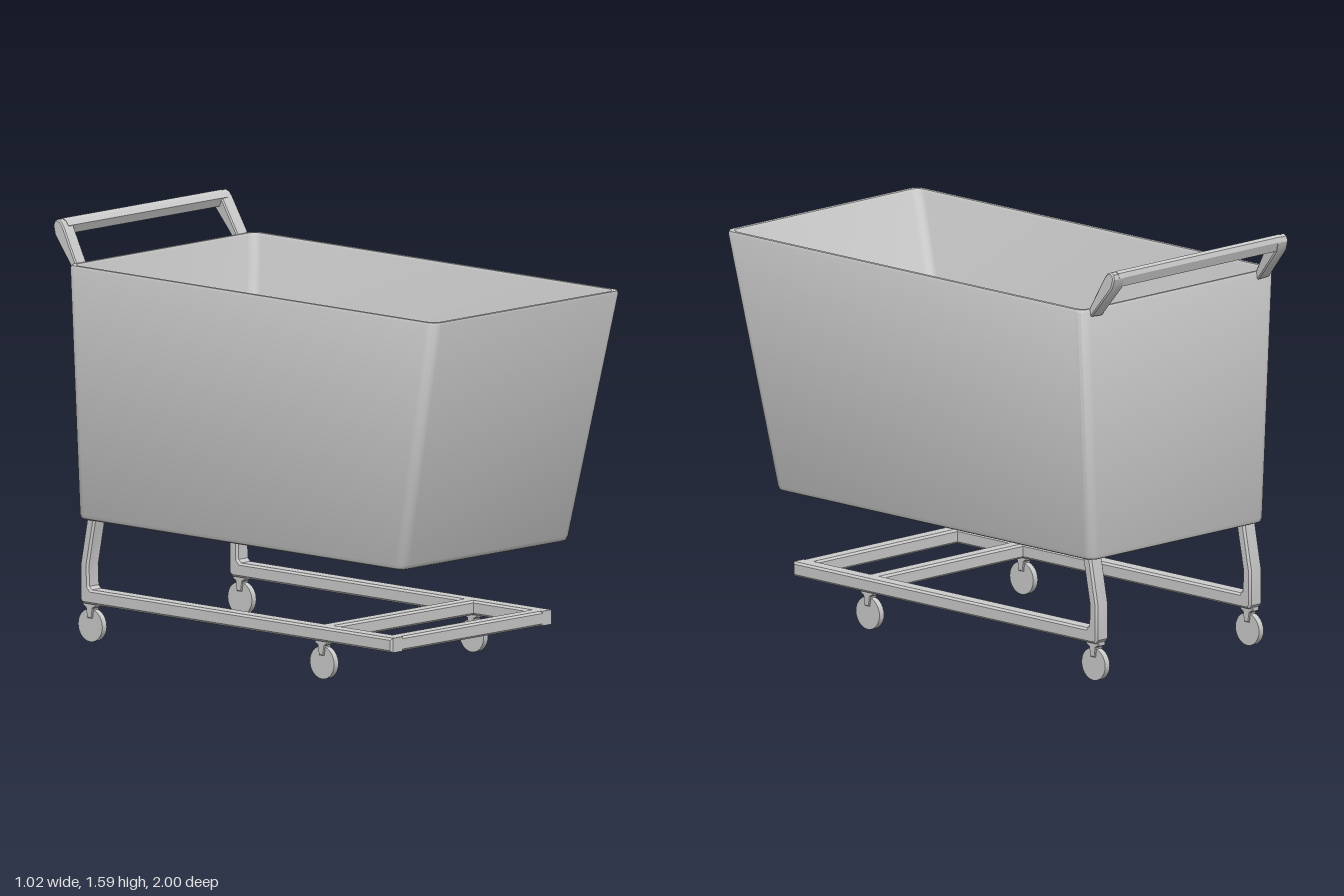
import * as THREE from 'three';
import { toCreasedNormals } from 'three/addons/utils/BufferGeometryUtils.js';

const material = new THREE.MeshStandardMaterial({ color: 0xcccccc });

function add(parent, name, geometry, x = 0, y = 0, z = 0) {
  const mesh = new THREE.Mesh(geometry, material);
  mesh.name = name;
  mesh.position.set(x, y, z);
  parent.add(mesh);
  return mesh;
}

// Profile given as [z, y] points, extruded along x about x = 0, with bevelled edges
function sideProfile(points, width, bevel) {
  const shape = new THREE.Shape(points.map(([z, y]) => new THREE.Vector2(z, y)));
  const geometry = new THREE.ExtrudeGeometry(shape, {
    depth: width - 2 * bevel, steps: 1, bevelEnabled: bevel > 0, bevelSegments: 1,
    bevelSize: bevel, bevelThickness: bevel, bevelOffset: -bevel,
  });
  geometry.translate(0, 0, -(width - 2 * bevel) / 2);
  geometry.rotateY(-Math.PI / 2);
  return toCreasedNormals(geometry, 0.5);
}

// Chamfered rectangle profile centred on z, y
function barProfile(z, y, depth, height, c) {
  const d = depth / 2, h = height / 2;
  return [[d - c, -h], [d, -h + c], [d, h - c], [d - c, h], [-d + c, h], [-d, h - c], [-d, -h + c], [-d + c, -h]]
    .map(([a, b]) => [z + a, y + b]);
}

// Skin through rounded rectangles [y, halfWidth, zBack, zFront, radius]
function loft(sections, steps = 5) {
  const positions = [], index = [], n = 4 * (steps + 1);
  for (const [y, w, back, front, r] of sections) {
    const corners = [[w - r, front - r], [-w + r, front - r], [-w + r, back + r], [w - r, back + r]];
    corners.forEach(([cx, cz], q) => {
      for (let k = 0; k <= steps; k++) {
        const a = (q + k / steps) * Math.PI / 2;
        positions.push(cx + r * Math.cos(a), y, cz + r * Math.sin(a));
      }
    });
  }
  for (let j = 0; j < sections.length - 1; j++) {
    for (let i = 0; i < n; i++) {
      const a = j * n + i, b = j * n + (i + 1) % n;
      index.push(a, a + n, b, b, a + n, b + n);
    }
  }
  const geometry = new THREE.BufferGeometry();
  geometry.setAttribute('position', new THREE.Float32BufferAttribute(positions, 3));
  geometry.setIndex(index);
  return toCreasedNormals(geometry, 0.7);
}

function makeCaster(side, z) {
  const caster = new THREE.Group();
  caster.name = 'caster';
  const wheel = new THREE.CylinderGeometry(0.062, 0.062, 0.024, 28).rotateZ(Math.PI / 2);
  add(caster, 'wheel', toCreasedNormals(wheel, 0.6), 0, 0.062, 0);
  add(caster, 'casterStem', sideProfile(
    [[-0.012, 0.09], [0.012, 0.09], [0.018, 0.128], [0.033, 0.136], [0.033, 0.15], [-0.033, 0.15], [-0.033, 0.136], [-0.018, 0.128]],
    0.036, 0.003));
  caster.position.set(side * 0.405, 0, z);
  return caster;
}

export function createModel() {
  const cart = new THREE.Group();
  cart.name = 'shoppingCart';

  // Open basket: outside upwards, over the rim, then inside down to the floor
  add(cart, 'basket', loft([
    [0.465, 0, -0.05, -0.05, 0],
    [0.465, 0.445, -0.868, 0.768, 0.03],
    [0.470, 0.455, -0.879, 0.779, 0.035],
    [0.485, 0.461, -0.884, 0.787, 0.04],
    [1.420, 0.511, -0.886, 0.997, 0.04],
    [1.430, 0.506, -0.881, 0.996, 0.04],
    [1.430, 0.492, -0.870, 0.980, 0.035],
    [1.420, 0.486, -0.865, 0.972, 0.035],
    [0.520, 0.442, -0.835, 0.725, 0.03],
    [0.500, 0.435, -0.822, 0.705, 0.025],
    [0.500, 0, -0.05, -0.05, 0],
  ]));

  // Lower frame: side rails with bent rear legs
  const rail = sideProfile([
    [0.71, 0.145], [0.71, 0.2], [-0.83, 0.2], [-0.842, 0.212], [-0.845, 0.29], [-0.808, 0.48],
    [-0.85, 0.48], [-0.887, 0.29], [-0.887, 0.16], [-0.875, 0.145],
  ], 0.066, 0.008);
  // Handle arms, widening towards the grip
  const arm = sideProfile([
    [-0.878, 1.40], [-0.878, 1.435], [-0.948, 1.56], [-0.962, 1.578], [-0.98, 1.585],
    [-0.994, 1.578], [-1, 1.56], [-0.99, 1.525], [-0.892, 1.405],
  ], 0.06, 0.005);
  for (const side of [-1, 1]) {
    add(cart, 'sideRailAndLeg', rail, side * 0.404);
    const handleArm = add(cart, 'handleArm', arm, side * 0.434, 0, 0);
    // Arms lean slightly inwards
    handleArm.rotation.z = side * 0.055;
    handleArm.position.x += side * 0.055 * 1.5;
    for (const z of [0.335, -0.85]) cart.add(makeCaster(side, z));
  }

  // Crossbars between the rails
  for (const z of [0.68, 0.335]) {
    add(cart, 'frameCrossbar', sideProfile(barProfile(z, 0.1725, 0.06, 0.055, 0.008), 0.76, 0));
  }

  // Grip bar joining the arms
  add(cart, 'handleBar', sideProfile([
    [-0.962, 1.527], [-0.948, 1.56], [-0.962, 1.578], [-0.98, 1.585], [-0.994, 1.578],
    [-1, 1.56], [-0.99, 1.525],
  ], 0.86, 0));

  return cart;
}
